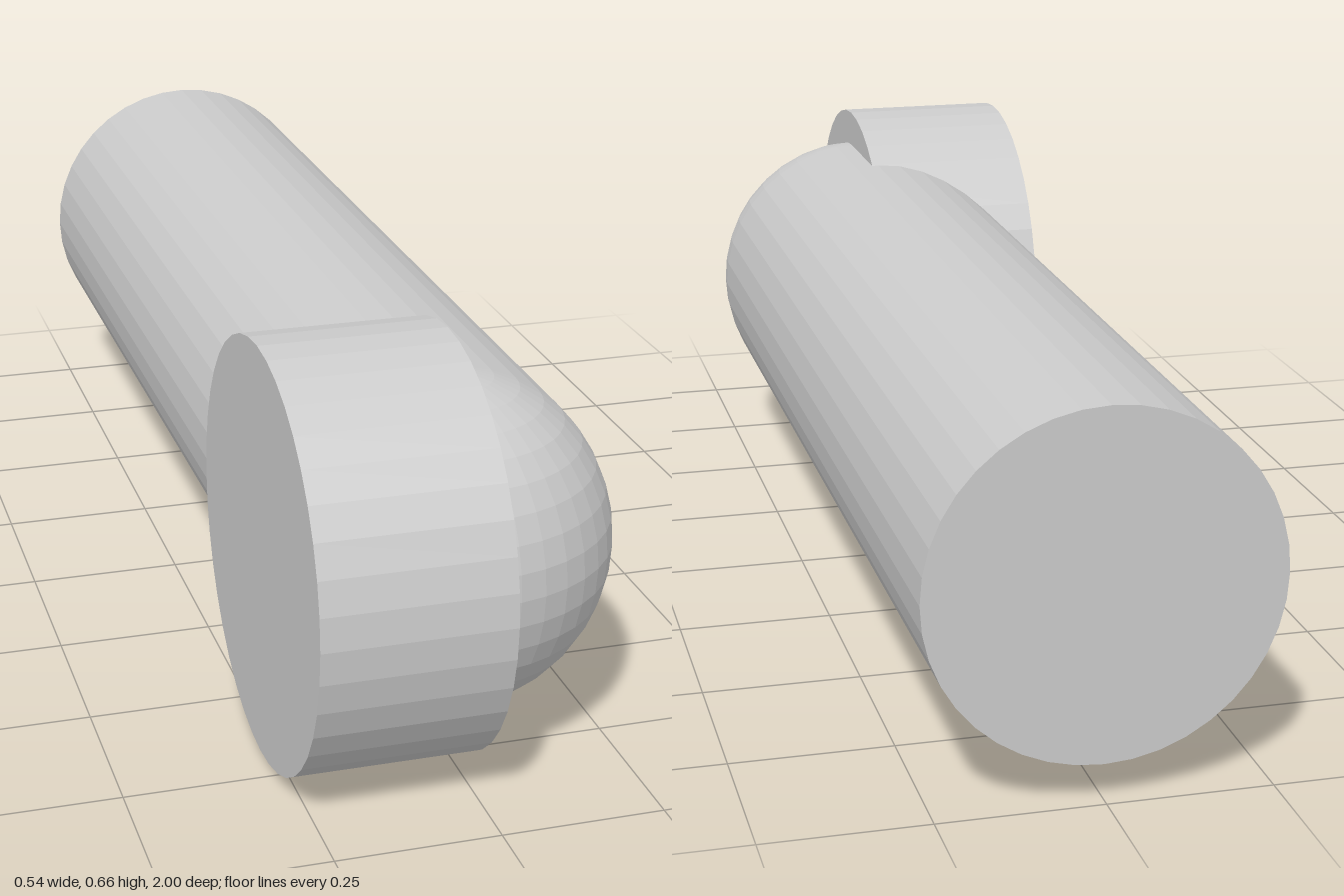
import * as THREE from 'three';

export function createModel() {
  const group = new THREE.Group();
  const material = new THREE.MeshStandardMaterial({ color: 0xcccccc, flatShading: true });
  const sides = 40, axisY = 0.328, armX = 0.005, armRadius = 0.265, elbowZ = 0.665;

  const add = (name, geometry, x, z) => {
    const mesh = new THREE.Mesh(geometry, material);
    mesh.name = name;
    mesh.position.set(x, axisY, z);
    group.add(mesh);
  };

  // Long round arm running to the back
  const armLength = elbowZ + 1;
  add('arm', new THREE.CylinderGeometry(armRadius, armRadius, armLength, sides).rotateX(Math.PI / 2),
    armX, elbowZ - armLength / 2);

  // Rounded front end of the arm
  add('roundedEnd', new THREE.SphereGeometry(armRadius, sides, sides / 2), armX, elbowZ);

  // Short wide collar set sideways on the right of the rounded end
  add('collar', new THREE.CylinderGeometry(0.328, 0.328, 0.287, sides).rotateZ(Math.PI / 2),
    -0.1275, 0.672);

  return group;
}
